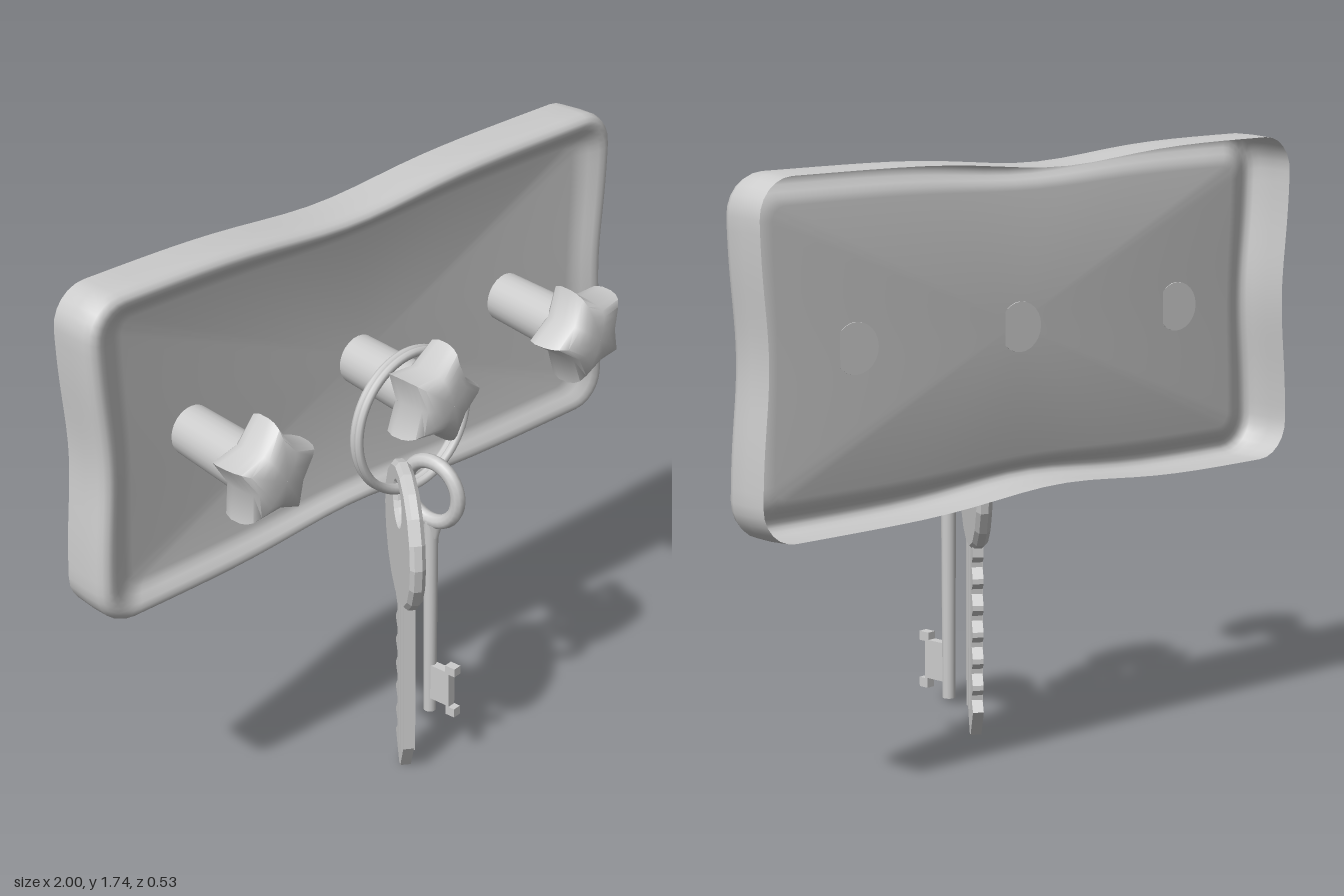
import * as THREE from 'three';
import { toCreasedNormals } from 'three/addons/utils/BufferGeometryUtils.js';

const material = new THREE.MeshStandardMaterial({ color: 0xcccccc, side: THREE.DoubleSide });

function mesh(geometry, name, x = 0, y = 0, z = 0) {
  const m = new THREE.Mesh(geometry, material);
  m.name = name;
  m.position.set(x, y, z);
  return m;
}

// Skin a stack of closed loops (arrays of Vector3 with equal length)
function loft(loops, crease) {
  const n = loops[0].length;
  const index = [];
  for (let i = 0; i < loops.length - 1; i++) {
    for (let j = 0; j < n; j++) {
      const a = i * n + j, b = i * n + (j + 1) % n;
      index.push(a, b, b + n, a, b + n, a + n);
    }
  }
  const g = new THREE.BufferGeometry().setFromPoints(loops.flat());
  g.setIndex(index);
  return toCreasedNormals(g, crease);
}

// Rounded rectangle with pinched edges; the pinch fades towards the panel
function plateLoop(insetX, insetY, z, pinch) {
  const hx = 1 - insetX, hy = 0.487 - insetY, r = 0.11 - insetX * 0.5;
  const corners = [[1, 1, 0], [-1, 1, 1], [-1, -1, 2], [1, -1, 3]];
  const pts = [];
  corners.forEach(([sx, sy, q]) => {
    for (let k = 0; k <= 6; k++) {
      const a = (q + k / 6) * Math.PI / 2;
      pts.push(new THREE.Vector3(sx * (hx - r) + r * Math.cos(a), sy * (hy - r) + r * Math.sin(a), z));
    }
  });
  // subdivide the straight edges
  const out = [];
  pts.forEach((p, i) => {
    out.push(p);
    if (i % 7 === 6) {
      const next = pts[(i + 1) % pts.length];
      for (let k = 1; k < 20; k++) out.push(p.clone().lerp(next, k / 20));
    }
  });
  return out.map((p) => {
    const dipY = 0.072 * pinch * Math.exp(-(((p.x + 0.06) / 0.32) ** 2));
    const dipX = 0.026 * pinch * Math.exp(-((p.y / 0.22) ** 2));
    return new THREE.Vector3(p.x * (1 - dipX), p.y * (1 - dipY), z);
  });
}

// Thin pressed tray: outer wall, rolled rim, sunken panel
function makePlate() {
  const profile = [[0.004, 0.004, -0.27, 1], [0, 0, -0.2, 1], [0, 0, -0.145, 1], [0.006, 0.006, -0.127, 1],
    [0.018, 0.016, -0.116, 1], [0.034, 0.028, -0.114, 1], [0.052, 0.042, -0.12, 0.9],
    [0.08, 0.06, -0.137, 0.75], [0.105, 0.076, -0.149, 0.65], [0.135, 0.095, -0.154, 0.6]];
  const loops = profile.map((p) => plateLoop(...p));
  const last = loops[loops.length - 1];
  loops.push(last.map((p) => new THREE.Vector3(p.x * 0.001, p.y * 0.001, p.z)));
  return mesh(loft(loops, 0.9), 'backPlate', 0, 1.255, 0);
}

// Puffy five-pointed star; rows are tip radius, valley radius, depth
function starGeometry() {
  const profile = [[0.001, 0.001, 0.095], [0.13, 0.082, 0.095], [0.148, 0.09, 0.105], [0.156, 0.094, 0.13],
    [0.155, 0.094, 0.165], [0.149, 0.094, 0.188], [0.137, 0.09, 0.207], [0.115, 0.082, 0.224],
    [0.083, 0.066, 0.236], [0.045, 0.04, 0.242], [0.001, 0.001, 0.244]];
  const loops = profile.map(([tip, valley, z]) => {
    const loop = [];
    for (let k = 0; k < 10; k++) {
      const r = k % 2 ? valley : tip, a = k * Math.PI / 5;
      loop.push(new THREE.Vector3(r * Math.cos(a), r * Math.sin(a), z));
    }
    return loop;
  });
  return loft(loops, 1.2);
}

function makeHook(x, angle) {
  const g = new THREE.Group();
  g.name = 'starHook';
  const star = mesh(starGeometry(), 'starKnob', x, 1.245, 0);
  star.rotation.z = angle;
  const pegGeometry = new THREE.CylinderGeometry(0.078, 0.072, 0.28, 24);
  pegGeometry.rotateX(Math.PI / 2);
  const peg = mesh(pegGeometry, 'peg', x, 1.247, -0.02);
  peg.rotation.y = -0.1;
  g.add(star, peg);
  return g;
}

// Two-turn split ring hanging on the middle peg
function makeSplitRing() {
  const pts = [];
  for (let i = 0; i <= 96; i++) {
    const t = i / 96, a = t * Math.PI * 4 + 0.3;
    pts.push(new THREE.Vector3(0.207 * Math.cos(a), 0.207 * Math.sin(a), -0.017 + 0.034 * t));
  }
  const curve = new THREE.CatmullRomCurve3(pts);
  return mesh(new THREE.TubeGeometry(curve, 144, 0.013, 8, false), 'splitRing', -0.015, 1.132, 0.06);
}

function plateShape(shape, depth, bevel) {
  const g = new THREE.ExtrudeGeometry(shape, {
    depth: depth - 2 * bevel, bevelEnabled: bevel > 0, bevelSize: bevel, bevelThickness: bevel,
    bevelOffset: -bevel, bevelSegments: 1, curveSegments: 9 });
  g.translate(0, 0, -depth / 2 + bevel);
  return g;
}

// Flat key with round head and toothed blade
function makeFlatKey() {
  const key = new THREE.Group();
  key.name = 'flatKey';
  const head = new THREE.Shape().absarc(0, 0.783, 0.218, 0, Math.PI * 2, false);
  head.holes.push(new THREE.Path().absarc(0, 0.885, 0.06, 0, Math.PI * 2, true));
  key.add(mesh(plateShape(head, 0.046, 0.012), 'keyHead'));

  const blade = new THREE.Shape();
  blade.moveTo(-0.062, 0.62);
  blade.lineTo(-0.062, 0.09);
  blade.lineTo(-0.012, 0.002);
  blade.lineTo(0.008, 0.002);
  blade.lineTo(0.065, 0.085);
  for (let i = 0; i < 6; i++) {
    const y = 0.085 + i * 0.08;
    blade.lineTo(0.034, y + 0.03);
    blade.lineTo(0.036, y + 0.045);
    blade.lineTo(0.06, y + 0.065);
    blade.lineTo(0.06, y + 0.08);
  }
  blade.lineTo(0.06, 0.62);
  key.add(mesh(plateShape(blade, 0.032, 0), 'keyBlade'));
  // raised ribs along the blade
  for (const x of [-0.045, -0.005]) {
    key.add(mesh(new THREE.BoxGeometry(0.02, 0.54, 0.042), 'bladeRib', x, 0.35, 0));
  }
  key.position.set(-0.052, 0, 0.078);
  key.rotation.y = 0.97;
  return key;
}

// Slim old-fashioned key with ring bow and notched bit
function makeBarrelKey() {
  const key = new THREE.Group();
  key.name = 'barrelKey';
  const bow = mesh(new THREE.TorusGeometry(0.095, 0.022, 10, 32), 'keyBow', 0, 0.878, 0);
  const neck = mesh(new THREE.CylinderGeometry(0.036, 0.022, 0.05, 14), 'keyNeck', 0, 0.755, 0);
  neck.scale.z = 0.6;
  const shaft = mesh(new THREE.CylinderGeometry(0.022, 0.019, 0.645, 14), 'keyShaft', -0.004, 0.46, 0);
  const bit = new THREE.Shape();
  [[0, 0.185], [0.068, 0.185], [0.068, 0.155], [0.1, 0.155], [0.1, 0.183], [0.078, 0.183], [0.078, 0.295],
    [0.1, 0.295], [0.1, 0.322], [0.064, 0.322], [0.064, 0.3], [0, 0.3]]
    .forEach(([x, y], i) => (i ? bit.lineTo(x, y) : bit.moveTo(x, y)));
  const bitMesh = mesh(plateShape(bit, 0.028, 0), 'keyBit');
  key.add(bow, neck, shaft, bitMesh);
  key.position.set(0.062, 0, 0.072);
  key.rotation.y = -Math.PI / 2 + 0.1;
  return key;
}

export function createModel() {
  const model = new THREE.Group();
  model.name = 'keyHolder';
  model.add(makePlate());
  const hooks = [[-0.65, 86], [-0.025, 70], [0.573, 108]];
  hooks.forEach(([x, deg]) => model.add(makeHook(x, THREE.MathUtils.degToRad(deg))));
  model.add(makeSplitRing(), makeFlatKey(), makeBarrelKey());
  return model;
}
